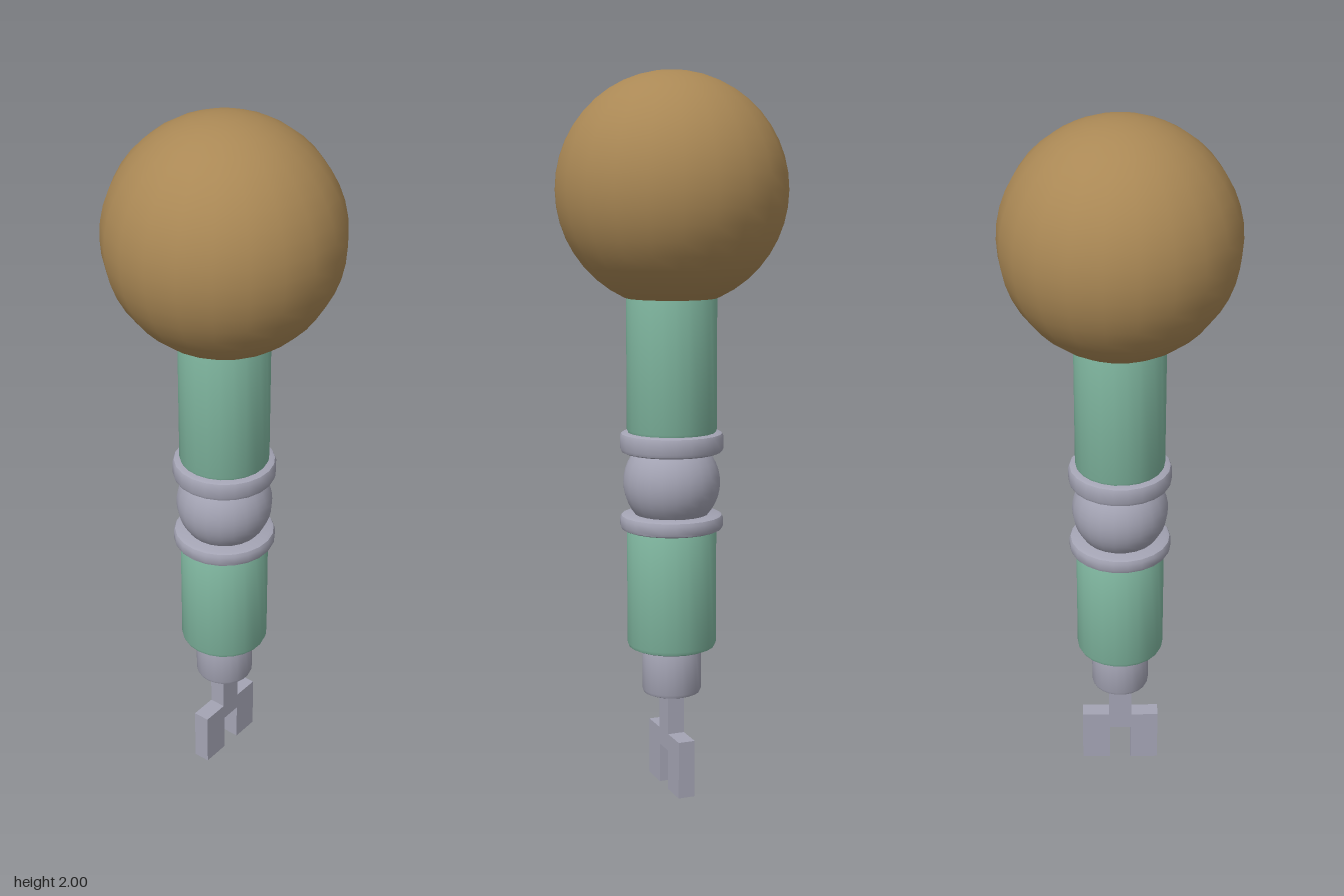
import * as THREE from 'three';
import { toCreasedNormals } from 'three/addons/utils/BufferGeometryUtils.js';

const SIDES = 22;

export function createModel() {
  const group = new THREE.Group();
  const material = (name, color) => {
    const m = new THREE.MeshStandardMaterial({ color });
    m.name = name;
    return m;
  };
  const brown = material('brown', 0xaa8855);
  const green = material('green', 0x80b7a0);
  const grey = material('grey', 0xa4a4b4);

  const add = (name, geometry, mat, y = 0) => {
    const mesh = new THREE.Mesh(geometry, mat);
    mesh.name = name;
    mesh.position.y = y;
    group.add(mesh);
  };

  // Upright cylinder with bevelled rims
  const barrel = (name, radius, bottom, top, bevel, mat) => {
    const profile = [
      [0, bottom], [radius - bevel, bottom], [radius - bevel * 0.3, bottom + bevel * 0.3],
      [radius, bottom + bevel], [radius, top - bevel],
      [radius - bevel * 0.3, top - bevel * 0.3], [radius - bevel, top], [0, top],
    ].map(([x, y]) => new THREE.Vector2(x, y));
    const lathe = new THREE.LatheGeometry(profile, SIDES, Math.PI / 2);
    add(name, toCreasedNormals(lathe, 0.6), mat);
  };

  // Round head on top
  add('head', new THREE.SphereGeometry(0.318, SIDES, SIDES), brown, 1.683);

  // Arm segments
  barrel('upperArm', 0.125, 1.015, 1.5, 0.014, green);
  barrel('lowerArm', 0.125, 0.41, 0.76, 0.014, green);

  // Elbow joint between two collars
  barrel('upperCollar', 0.144, 0.965, 1.022, 0.012, grey);
  add('elbowBall', new THREE.SphereGeometry(0.135, SIDES, SIDES), grey, 0.88);
  barrel('lowerCollar', 0.144, 0.748, 0.792, 0.012, grey);

  // Wrist
  barrel('wrist', 0.083, 0.276, 0.42, 0.012, grey);

  // Two-pronged claw with its stem
  const outline = [
    [0.034, 0.29], [0.034, 0.162], [0.113, 0.162], [0.113, 0], [0.031, 0], [0.031, 0.113],
  ];
  const mirrored = outline.map(([x, y]) => [-x, y]).reverse();
  const shape = new THREE.Shape([...outline, ...mirrored].map(([x, y]) => new THREE.Vector2(x, y)));
  const claw = new THREE.ExtrudeGeometry(shape, { depth: 0.048, bevelEnabled: false });
  claw.translate(0, 0, -0.024);
  add('claw', claw, grey);

  return group;
}
